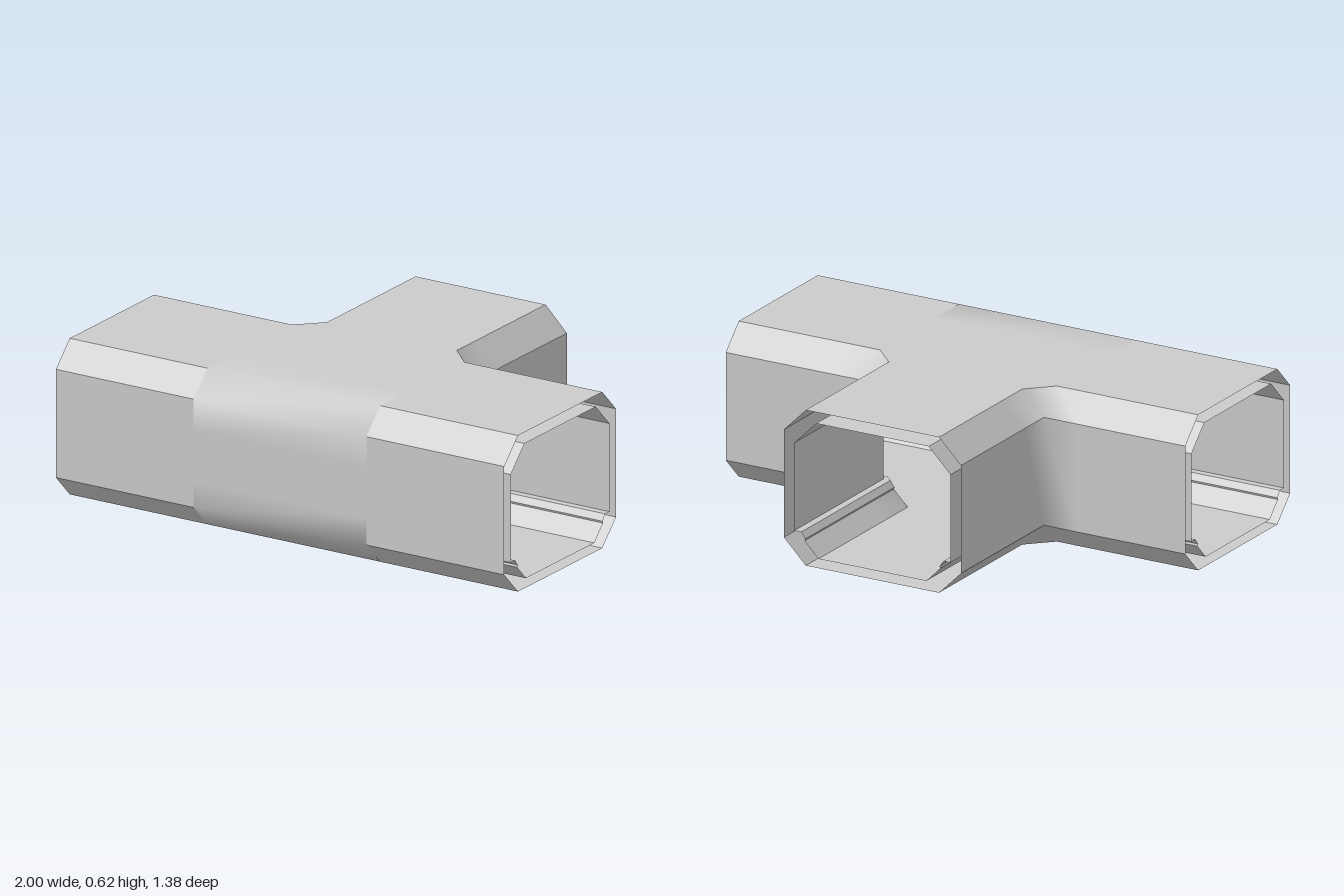
import * as THREE from 'three';
import { mergeGeometries, mergeVertices } from 'three/addons/utils/BufferGeometryUtils.js';

const HALF = 0.385;   // half width of the branch
const BACK = -0.08;   // outer back wall of the main tube
const END = 0.69;     // front wall, and (negated) open end of the branch
const BLEND = 0.145;  // length over which the junction corner is softened

// Wall profiles as [depth inward from the outer wall, height], bottom to top
const OUTER = [[0.095, 0], [0, 0.095], [0, 0.525], [0.095, 0.62]];
const INNER = [[0.15, 0.037], [0.09, 0.098], [0.093, 0.106], [0.075, 0.13],
  [0.045, 0.13], [0.045, 0.48], [0.14, 0.575]];
const WALL = 0.045;

const material = new THREE.MeshStandardMaterial({ color: 0xcccccc, side: THREE.DoubleSide });

function addMesh(group, name, geometry) {
  const mesh = new THREE.Mesh(geometry, material);
  mesh.name = name;
  group.add(mesh);
}

// Skin between cross-sections; normals are smooth within this skin
function skin(sections, flip) {
  const n = sections[0].length;
  const index = [];
  for (let i = 0; i < sections.length - 1; i++) {
    for (let j = 0; j < n - 1; j++) {
      const a = i * n + j, b = a + n, c = b + 1, d = a + 1;
      if (flip) index.push(a, c, b, a, d, c);
      else index.push(a, b, c, a, c, d);
    }
  }
  let geo = new THREE.BufferGeometry();
  geo.setAttribute('position', new THREE.Float32BufferAttribute(sections.flat(2), 3));
  geo.setIndex(index);
  geo = mergeVertices(geo, 1e-4);
  geo.computeVertexNormals();
  return geo;
}

// One skin per profile band, so the long edges stay sharp
function bandedSkin(sections, flip) {
  const bands = [];
  for (let j = 0; j < sections[0].length - 1; j++) {
    bands.push(skin(sections.map((s) => s.slice(j, j + 2)), flip));
  }
  return mergeGeometries(bands);
}

// Wall that runs along the main tube, turns the corner and follows the branch
function cornerWall(profile, inset, side, inward) {
  const alongTube = (x) => profile.map(([d, y]) => [side * x, y, BACK + d]);
  const alongBranch = (z) => profile.map(([d, y]) => [side * (HALF - d), y, z]);
  const sections = [
    alongTube(1), alongTube(HALF + BLEND), alongTube(HALF - inset),
    alongBranch(BACK + inset), alongBranch(BACK - BLEND), alongBranch(-END),
  ];
  return bandedSkin(sections, (side < 0) !== inward);
}

// T-shaped floor or ceiling with the two inside corners cut diagonally
function plate(y, d, inset, front, up) {
  const half = [[1, front], [1, BACK + d], [HALF - inset, BACK + d],
    [HALF - d, BACK + inset], [HALF - d, -END]];
  const outline = [...half, ...half.map(([x, z]) => [-x, z]).reverse()];
  const s = up ? -1 : 1;
  const shape = new THREE.Shape(outline.map(([x, z]) => new THREE.Vector2(x, s * z)));
  return new THREE.ShapeGeometry(shape).rotateX(s * Math.PI / 2).translate(0, y, 0);
}

// Straight cross-sections from right to left, profile given as [z, y]
const straight = (profile, from, to) =>
  [from, to].map((x) => profile.map(([z, y]) => [x, y, z]));

export function createModel() {
  const group = new THREE.Group();
  group.name = 'teeCorridor';

  // Outer roof and underside
  const seam = 0.4;
  addMesh(group, 'roof', plate(0.62, 0.095, 0, seam, true));
  addMesh(group, 'underside', plate(0, 0.095, 0, seam, false));

  // Outer front: crisp chamfers on the arms, softly shaded centre panel
  const chamfered = [[seam, 0.62], [0.595, 0.62], [END, 0.525],
    [END, 0.095], [0.595, 0], [seam, 0]];
  addMesh(group, 'leftFrontWall', bandedSkin(straight(chamfered, 1, HALF)));
  addMesh(group, 'rightFrontWall', bandedSkin(straight(chamfered, -HALF, -1)));
  const soft = [...chamfered.slice(0, 3), [END, 0.4], [END, 0.2], ...chamfered.slice(3)];
  addMesh(group, 'centreFrontWall', skin(straight(soft, HALF, -HALF)));

  // Corner walls, outside and inside, on both sides of the branch
  for (const [side, label] of [[1, 'left'], [-1, 'right']]) {
    addMesh(group, label + 'OuterCornerWall', cornerWall(OUTER, 0, side, false));
    addMesh(group, label + 'InnerCornerWall', cornerWall(INNER, WALL, side, true));
  }

  // Interior floor, ceiling and front wall with its floor rail
  addMesh(group, 'floor', plate(INNER[0][1], INNER[0][0], WALL, END - INNER[0][0], true));
  const [topDepth, topY] = INNER[INNER.length - 1];
  addMesh(group, 'ceiling', plate(topY, topDepth, WALL, END - topDepth, false));
  const frontInside = INNER.map(([d, y]) => [END - d, y]);
  addMesh(group, 'innerFrontWall', bandedSkin(straight(frontInside, 1, -1)));

  return group;
}
